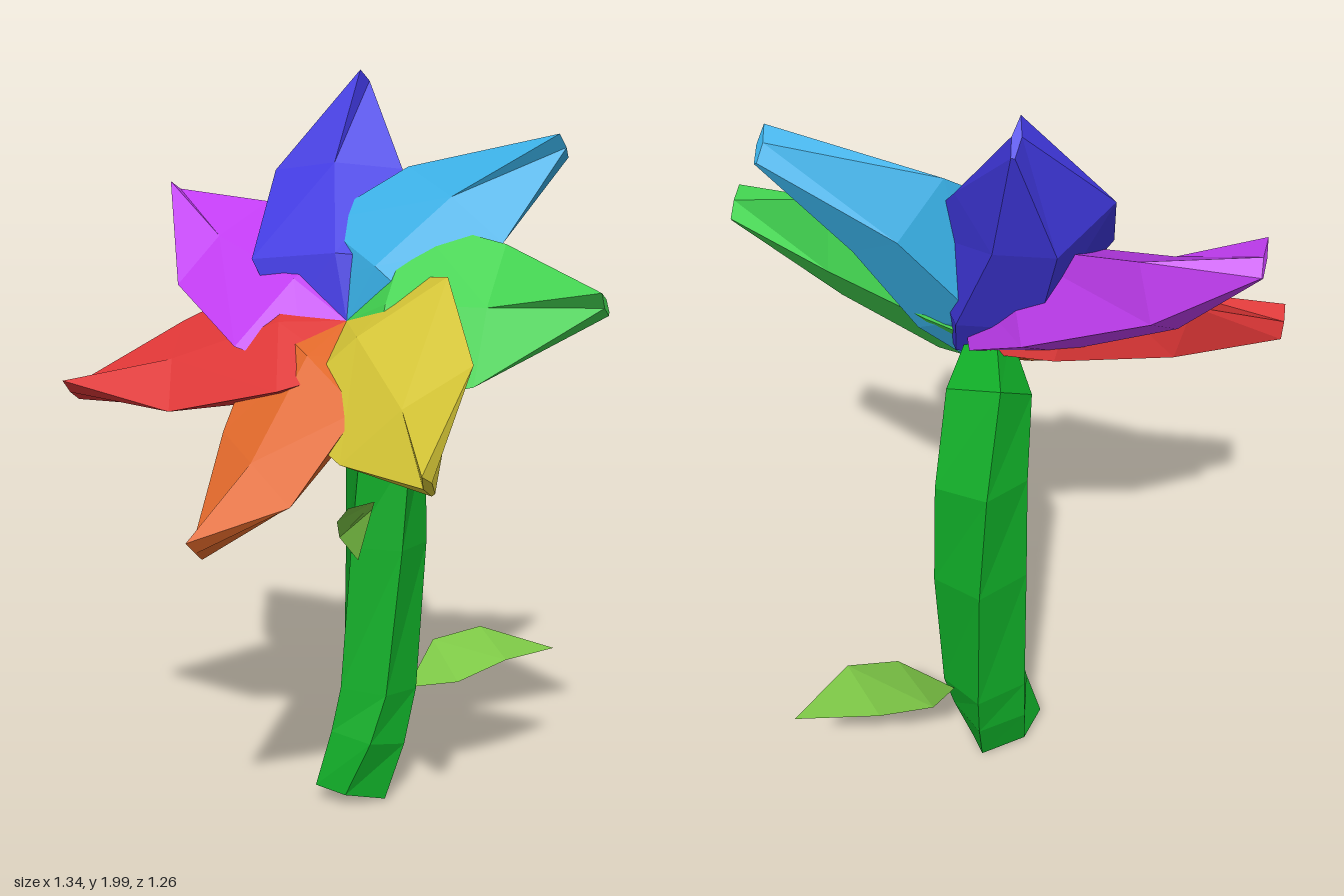
import * as THREE from 'three';

const V = (p) => new THREE.Vector3(...p);

function makeMesh(name, positions, color, side = THREE.FrontSide) {
  const geometry = new THREE.BufferGeometry();
  geometry.setAttribute('position', new THREE.Float32BufferAttribute(positions, 3));
  geometry.computeVertexNormals();
  const mesh = new THREE.Mesh(geometry, new THREE.MeshStandardMaterial({ color, flatShading: true, side }));
  mesh.name = name;
  return mesh;
}

// Faceted skin over a list of rings, closed at both ends
function loft(rings) {
  const out = [];
  const tri = (...points) => points.forEach((p) => out.push(p.x, p.y, p.z));
  const count = rings[0].length;
  for (let k = 0; k < rings.length - 1; k++) {
    for (let i = 0; i < count; i++) {
      const j = (i + 1) % count;
      const [a, b] = [rings[k], rings[k + 1]];
      tri(a[i], a[j], b[j]);
      tri(a[i], b[j], b[i]);
    }
  }
  const first = rings[0], last = rings[rings.length - 1];
  for (let i = 1; i < count - 1; i++) {
    tri(first[0], first[i + 1], first[i]);
    tri(last[0], last[i], last[i + 1]);
  }
  return out;
}

// Five-sided stem that bends forward into the flower: centre, half width, half depth
function createStem() {
  const spine = [
    [0.07, 0.04, -0.195, 0.11, 0.055], [0.115, 0.2, -0.21, 0.11, 0.10], [0.145, 0.34, -0.23, 0.115, 0.105],
    [0.175, 0.75, -0.26, 0.12, 0.11], [0.18, 1.04, -0.265, 0.115, 0.11], [0.14, 1.24, -0.215, 0.105, 0.125],
    [0.07, 1.31, -0.10, 0.05, 0.05],
  ];
  const centers = spine.map((s) => V(s.slice(0, 3)));
  const rings = centers.map((c, k) => {
    const dir = centers[Math.min(k + 1, 6)].clone().sub(centers[Math.max(k - 1, 0)]).normalize();
    const b = dir.clone().cross(V([1, 0, 0])).normalize();
    const a = b.clone().cross(dir);
    return Array.from({ length: 5 }, (_, i) => {
      const angle = (i / 5) * Math.PI * 2 + k * 0.17 + 0.6;
      return c.clone().addScaledVector(a, Math.cos(angle) * spine[k][3])
        .addScaledVector(b, Math.sin(angle) * spine[k][4]);
    });
  });
  return makeMesh('stem', loft(rings), 0x10ad28);
}

// Fat petal: two side edges, an inner ridge and two outer ridges, ending in a blade-like tip
const heart = V([0.06, 1.34, -0.09]);
const facing = V([-0.49, 0.65, 0.58]).normalize();

function createPetal({ name, color, tip, edges }) {
  const [e0, e1] = edges.map(V);
  const half = e0.clone().sub(e1).multiplyScalar(0.5);
  const mid = e0.clone().add(e1).multiplyScalar(0.5);
  const ring = (center, width, inner, outer) => [
    [1, 0], [0, inner], [-1, 0], [-0.4, -outer], [0.4, -outer],
  ].map(([x, y]) => center.clone().addScaledVector(half, x * width).addScaledVector(facing, y));
  const base = heart.clone().addScaledVector(facing, 0.09);
  const shoulder = heart.clone().lerp(mid, 0.34).addScaledVector(facing, 0.11);
  const rings = [
    ring(base, 1.0, 0.02, 0.17),
    ring(shoulder, 1.35, 0.03, 0.22),
    ring(mid, 1, 0.03, 0.13),
    ring(V(tip), 0.06, 0.045, 0.045),
  ];
  return makeMesh(name, loft(rings), color);
}

const petals = [
  { name: 'bluePetal', color: 0x4038e0, tip: [0.16, 1.97, -0.4], edges: [[-0.09, 1.75, -0.37], [0.2, 1.76, -0.2]] },
  { name: 'purplePetal', color: 0xc03cf0, tip: [-0.31, 1.68, -0.6], edges: [[-0.36, 1.47, -0.33], [-0.09, 1.66, -0.47]] },
  { name: 'redPetal', color: 0xdd3636, tip: [-0.65, 1.225, -0.27], edges: [[-0.44, 1.21, -0.03], [-0.35, 1.38, -0.31]] },
  { name: 'orangePetal', color: 0xe0682a, tip: [-0.43, 0.935, 0.22], edges: [[-0.22, 1.05, 0.31], [-0.32, 1.17, 0.04]] },
  { name: 'yellowPetal', color: 0xd6c636, tip: [0.01, 1.17, 0.61], edges: [[0.18, 1.38, 0.41], [-0.1, 1.14, 0.3]] },
  { name: 'greenPetal', color: 0x42d350, tip: [0.49, 1.505, 0.415], edges: [[0.35, 1.61, 0.15], [0.21, 1.31, 0.33]] },
  { name: 'cyanPetal', color: 0x38aee4, tip: [0.525, 1.83, 0.06], edges: [[0.2, 1.77, -0.15], [0.35, 1.61, 0.13]] },
];

// Thin leaf outline from base to tip and back, creased across its width
function createLeaf(name, outline) {
  const p = outline.map(V);
  const order = [0, 5, 1, 1, 5, 4, 1, 4, 2, 2, 4, 3];
  return makeMesh(name, order.flatMap((i) => p[i].toArray()), 0x80cc48, THREE.DoubleSide);
}

export function createModel() {
  const model = new THREE.Group();
  model.name = 'flower';
  model.add(createStem());

  const bloom = new THREE.Group();
  bloom.name = 'bloom';
  petals.forEach((petal) => bloom.add(createPetal(petal)));
  model.add(bloom);

  model.add(createLeaf('sideLeaf', [
    [0.24, 0.32, -0.23], [0.35, 0.41, -0.34], [0.49, 0.44, -0.33],
    [0.67, 0.4, -0.21], [0.49, 0.42, -0.12], [0.35, 0.37, -0.12],
  ]));
  model.add(createLeaf('frontLeaf', [
    [0.08, 0.73, -0.18], [0.02, 0.81, -0.15], [0.0, 0.87, -0.1],
    [0.0, 0.94, 0.01], [0.09, 0.93, -0.06], [0.11, 0.88, -0.15],
  ]));
  return model;
}
